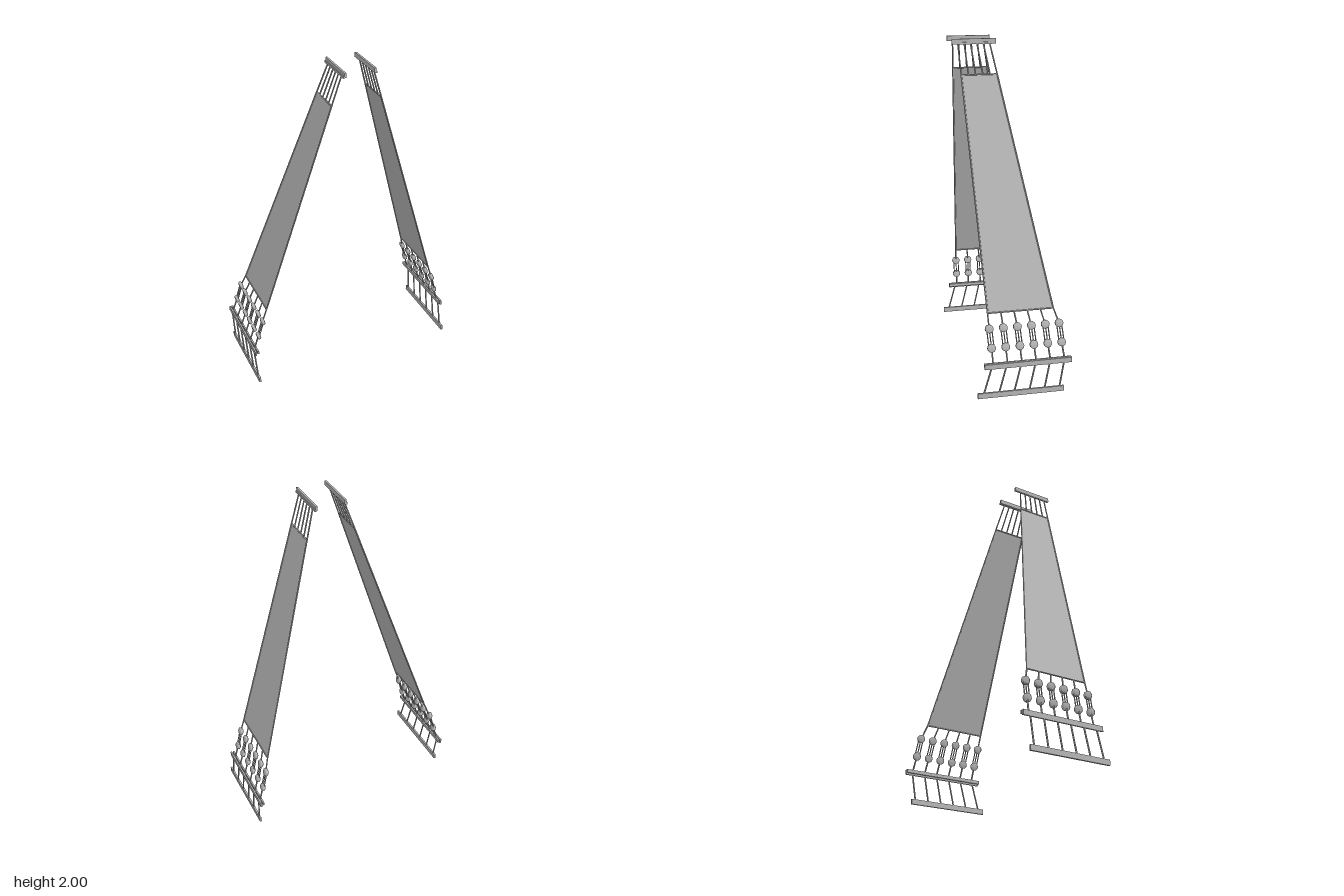
import * as THREE from 'three';

export function createModel() {
  const wood = new THREE.MeshStandardMaterial({ color: 0xb4b4b4 });
  wood.name = 'grey';
  const net = new THREE.MeshStandardMaterial({ color: 0xb4b4b4, side: THREE.DoubleSide });
  net.name = 'net grey';
  const V = (x, y, z) => new THREE.Vector3(x, y, z);
  const up = V(0, 1, 0);
  const COUNT = 6;
  const mix = (a, b, i) => a + (b - a) * i / (COUNT - 1);

  // Straight round rope or rod between two points
  function rod(parent, name, a, b, r) {
    const d = b.clone().sub(a);
    const m = new THREE.Mesh(new THREE.CylinderGeometry(r, r, d.length(), 6), wood);
    m.position.copy(a).add(b).multiplyScalar(0.5);
    m.quaternion.setFromUnitVectors(up, d.normalize());
    m.name = name;
    parent.add(m);
  }

  function bar(parent, name, x, y, z0, z1, w, h) {
    const m = new THREE.Mesh(new THREE.BoxGeometry(w, h, z1 - z0), wood);
    m.position.set(x, y, (z0 + z1) / 2);
    m.name = name;
    parent.add(m);
  }

  // Rounded wooden disc, its axis square to the rope
  function deadeye(parent, name, c) {
    const pts = [[0, -0.011], [0.018, -0.011], [0.025, -0.006], [0.025, 0.006], [0.018, 0.011], [0, 0.011]];
    const g = new THREE.LatheGeometry(pts.map(p => new THREE.Vector2(...p)), 12);
    const m = new THREE.Mesh(g, wood);
    m.position.copy(c);
    m.rotation.z = -Math.PI / 2 + 0.24;
    m.name = name;
    parent.add(m);
  }

  function createSide(s) {
    const side = new THREE.Group();
    side.name = s > 0 ? 'leftShrouds' : 'rightShrouds';
    const P = (x, y, z) => V(s * x, y, z);

    // Masthead bar
    bar(side, 'topBar', s * 0.09, 1.985, 0.04, 0.298, 0.012, 0.028);
    bar(side, 'topBarLip', s * 0.096, 1.974, 0.04, 0.298, 0.01, 0.012);

    // Tapering climbing net
    const corners = [P(0.151, 1.8, 0.254), P(0.151, 1.8, 0.043), P(0.56, 0.49, -0.204), P(0.56, 0.49, 0.186)];
    const g = new THREE.BufferGeometry().setFromPoints(corners);
    g.setIndex(s > 0 ? [0, 2, 1, 0, 3, 2] : [0, 1, 2, 0, 2, 3]);
    g.computeVertexNormals();
    const sheet = new THREE.Mesh(g, net);
    sheet.name = 'net';
    side.add(sheet);
    corners.forEach((c, i) => rod(side, 'netEdge', c, corners[(i + 1) % 4], 0.0045));

    for (let i = 0; i < COUNT; i++) {
      // Shrouds above the net
      rod(side, 'upperShroud', P(0.096, 1.975, mix(0.263, 0.077, i)),
        P(0.151, 1.8, mix(0.254, 0.043, i)), 0.0045);

      // Deadeye pair with its lanyards
      const hi = P(0.588, 0.405, mix(0.182, -0.232, i));
      const lo = P(0.617, 0.297, mix(0.174, -0.242, i));
      const foot = P(0.645, 0.205, mix(0.17, -0.253, i));
      rod(side, 'lowerShroud', P(0.56, 0.49, mix(0.186, -0.204, i)), hi, 0.0045);
      deadeye(side, 'upperDeadeye', hi);
      deadeye(side, 'lowerDeadeye', lo);
      for (const dz of [-0.015, 0, 0.015]) {
        const o = V(0, 0, dz);
        rod(side, 'lanyard', hi.clone().add(o), lo.clone().add(o), 0.0035);
      }
      rod(side, 'deadeyeStrop', lo, foot, 0.005);

      // Chain plate down to the hull bar
      rod(side, 'chainPlate', P(0.653, 0.2, mix(0.178, -0.25, i)),
        P(0.649, 0.025, mix(0.227, -0.224, i)), 0.005);
      bar(side, 'channelBlock', s * 0.646, 0.2, foot.z - 0.012, foot.z + 0.012, 0.02, 0.014);
    }

    // Channel rails and hull bar
    bar(side, 'innerRail', s * 0.638, 0.203, -0.295, 0.222, 0.01, 0.02);
    bar(side, 'outerRail', s * 0.653, 0.198, -0.295, 0.222, 0.01, 0.03);
    bar(side, 'hullBar', s * 0.649, 0.018, -0.25, 0.262, 0.012, 0.032);
    return side;
  }

  const model = new THREE.Group();
  model.name = 'shrouds';
  model.add(createSide(1), createSide(-1));
  return model;
}
